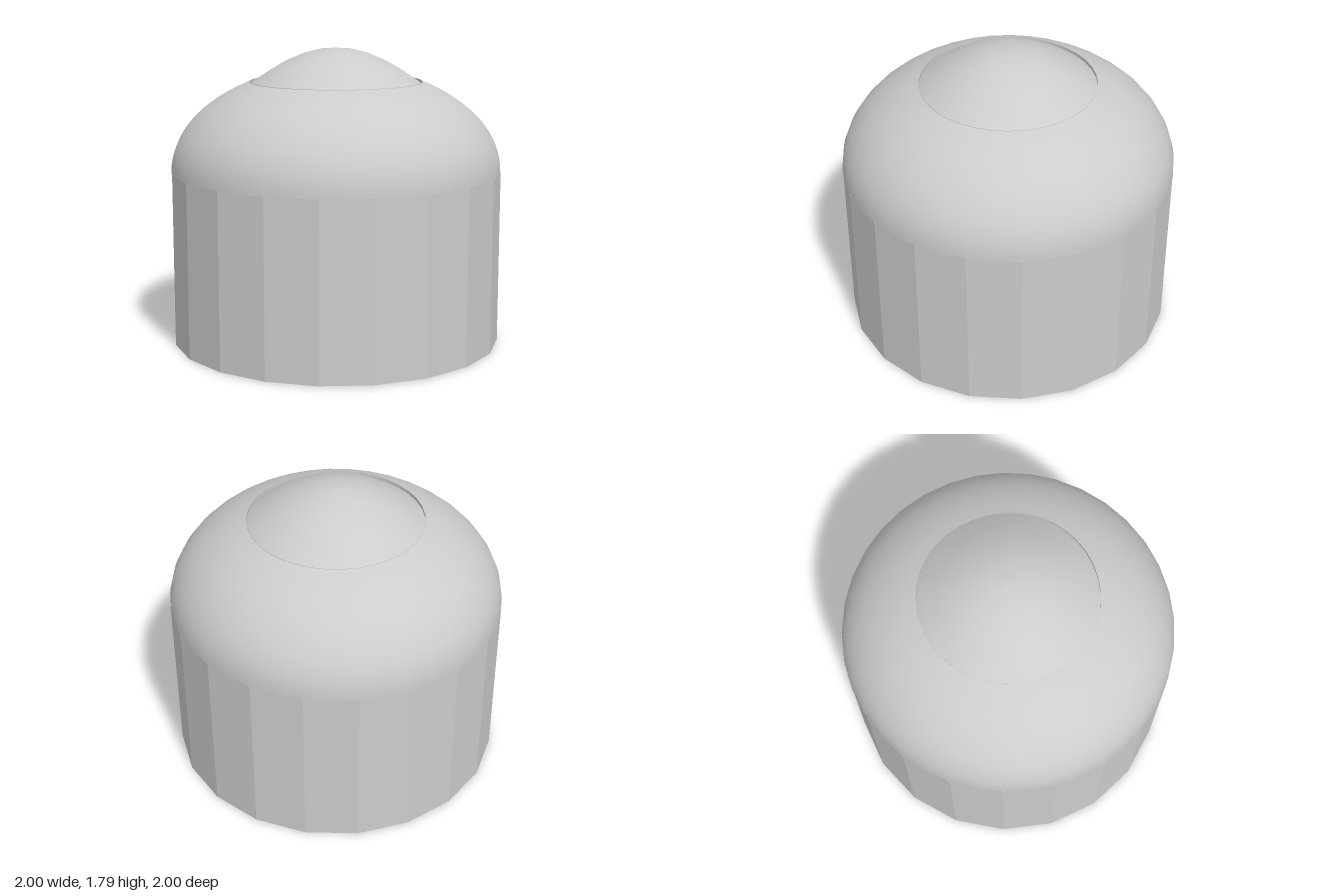
import * as THREE from 'three';

export function createModel() {
  const group = new THREE.Group();
  group.name = 'domedDrum';

  const grey = new THREE.MeshStandardMaterial({ color: 0xcccccc, side: THREE.DoubleSide });
  grey.name = 'grey';
  const flatGrey = new THREE.MeshStandardMaterial({ color: 0xcccccc, flatShading: true });
  flatGrey.name = 'greyFaceted';

  const shoulderY = 1.05, domeHeight = 0.63, rimRadius = 0.523, rimY = 1.59;

  const add = (name, geometry, material) => {
    const mesh = new THREE.Mesh(geometry, material);
    mesh.name = name;
    group.add(mesh);
    return mesh;
  };
  const lathe = (pairs) =>
    new THREE.LatheGeometry(pairs.map(([r, y]) => new THREE.Vector2(r, y)), 36);

  // Twenty-sided drum with closed ends
  add('drum', new THREE.CylinderGeometry(1, 1, shoulderY, 20), flatGrey)
    .position.y = shoulderY / 2;

  // Elliptical dome, cut off at the rim
  const domeProfile = [];
  const endAngle = Math.acos(rimRadius);
  for (let i = 0; i <= 16; i++) {
    const a = endAngle * i / 16;
    domeProfile.push([Math.cos(a), shoulderY + domeHeight * Math.sin(a)]);
  }
  add('dome', lathe(domeProfile), grey);

  // Short inner wall of the rim, dropping to the cap
  add('rimWall', lathe([[rimRadius, rimY], [rimRadius, 1.565]]), grey);

  // Rounded cap seated slightly below the rim
  add('cap', lathe([
    [rimRadius, 1.57], [0.49, 1.595], [0.4, 1.655], [0.31, 1.708],
    [0.2, 1.756], [0.1, 1.782], [0, 1.79],
  ]), grey);

  return group;
}
